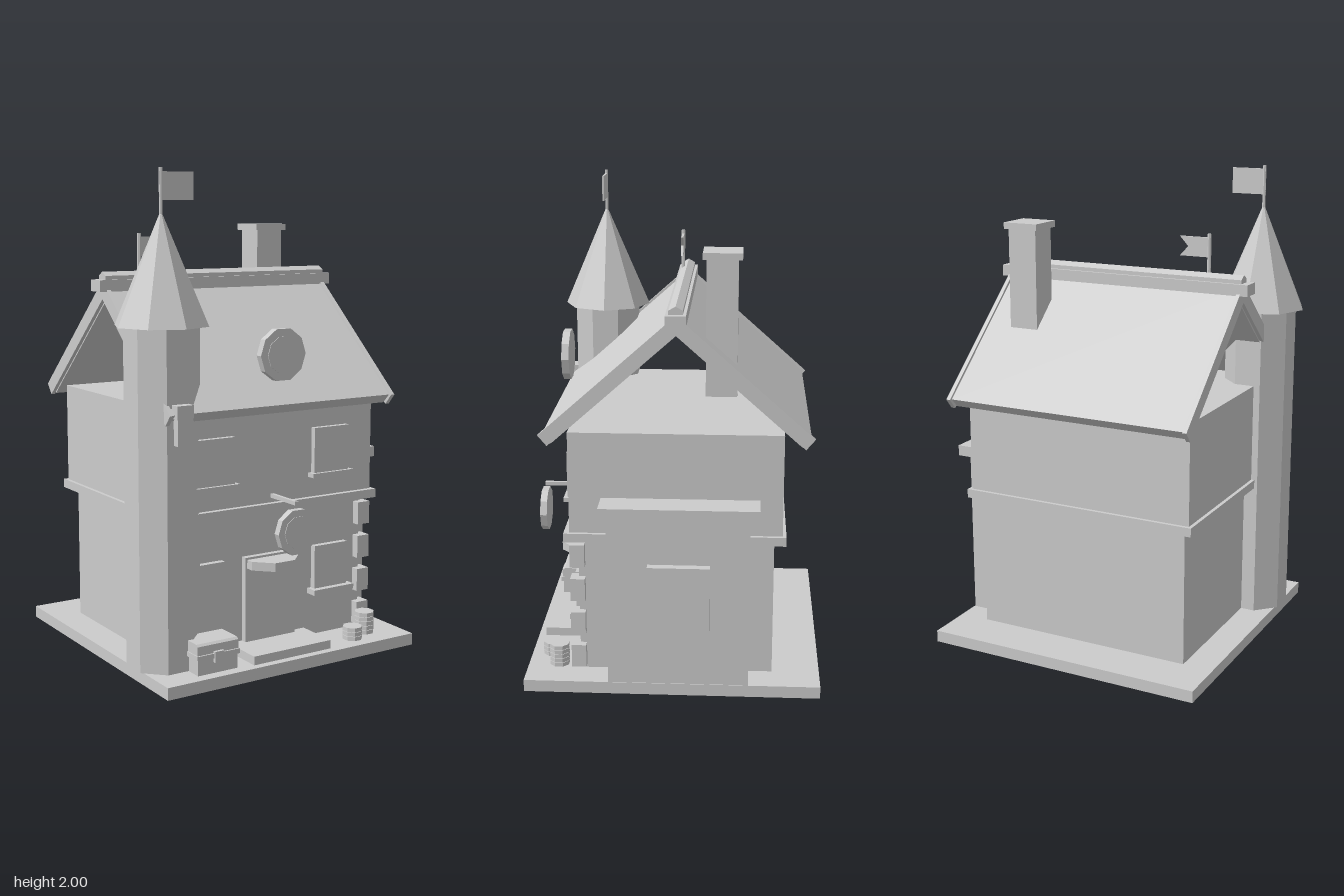
import * as THREE from 'three';

export function createModel() {
  const model = new THREE.Group();
  const grey = new THREE.MeshStandardMaterial({ color: 0xcccccc });
  grey.name = 'plain grey';
  const CX = 0.017, CZ = -0.017; // centre of the house walls

  function add(name, geometry, x = 0, y = 0, z = 0) {
    const mesh = new THREE.Mesh(geometry, grey);
    mesh.name = name;
    mesh.position.set(x, y, z);
    model.add(mesh);
    return mesh;
  }
  // box given by its limits on each axis
  function box(name, x0, x1, y0, y1, z0, z1) {
    return add(name, new THREE.BoxGeometry(x1 - x0, y1 - y0, z1 - z0),
      (x0 + x1) / 2, (y0 + y1) / 2, (z0 + z1) / 2);
  }
  // faceted upright cylinder, turned by an angle
  function facets(rTop, rBottom, height, sides, turn = 0) {
    const g = new THREE.CylinderGeometry(rTop, rBottom, height, sides, 1, false, turn).toNonIndexed();
    g.computeVertexNormals();
    return g;
  }
  // outline of [z, y] points extruded from x0 to x1
  function prism(name, points, x0, x1) {
    const shape = new THREE.Shape(points.map(([z, y]) => new THREE.Vector2(-z, y)));
    const g = new THREE.ExtrudeGeometry(shape, { depth: x1 - x0, bevelEnabled: false });
    g.rotateY(Math.PI / 2);
    return add(name, g, x0, 0, 0);
  }
  // ten-sided disc facing the front, with a raised centre
  function medallion(name, y, z0, z1, r) {
    const rim = facets(r, r, z1 - z0, 10, Math.PI / 2).rotateX(Math.PI / 2);
    add(name, rim, CX, y, (z0 + z1) / 2);
    const centre = facets(r * 0.7, r * 0.7, 0.006, 10, Math.PI / 2).rotateX(Math.PI / 2);
    add(name + 'Centre', centre, CX, y, z1);
  }

  // base slab and the two storeys
  box('base', -0.587, 0.619, 0, 0.05, -0.604, 0.602);
  box('lowerStorey', -0.457, 0.491, 0.05, 0.64, -0.409, 0.381);
  box('upperStorey', -0.489, 0.523, 0.64, 1.08, -0.441, 0.413);
  box('floorBand', -0.504, 0.538, 0.624, 0.661, -0.456, 0.436);

  // corner stones
  for (let i = 0; i < 4; i++) {
    const y = 0.067 + i * 0.147;
    box('cornerStone', 0.462, 0.523, y, y + 0.097, 0.355, 0.415);
  }

  // two roof slopes with raised boards on the gable ends
  for (const s of [1, -1]) {
    const slope = (ridge, eave, under) => {
      const p = [[CZ, ridge], [CZ + s * eave, ridge - 0.889 * eave],
        [CZ + s * (eave - 0.036), ridge - 0.889 * eave - under], [CZ, ridge - under - 0.032]];
      return s > 0 ? p : p.reverse();
    };
    prism('roofSlope', slope(1.545, 0.527, 0.037), -0.51, 0.541);
    prism('gableBoard', slope(1.558, 0.541, 0.043), -0.526, -0.509);
    prism('gableBoard', slope(1.558, 0.541, 0.043), 0.54, 0.558);
  }
  box('ridgeBeam', -0.557, 0.588, 1.515, 1.562, CZ - 0.04, CZ + 0.04);
  add('ridgePole', facets(0.032, 0.032, 1.085, 6, Math.PI / 6 * 3).rotateZ(Math.PI / 2), CX, 1.562, CZ);

  // chimney
  box('chimney', 0.302, 0.43, 1.208, 1.755, -0.252, -0.128);
  box('chimneyCap', 0.288, 0.443, 1.751, 1.778, -0.268, -0.114);

  // side bay with its window
  box('sideBay', 0.45, 0.616, 0.05, 0.768, -0.312, 0.256);
  box('sideBayCap', 0.45, 0.65, 0.766, 0.811, -0.35, 0.284);
  box('sideWindow', 0.6, 0.65, 0.257, 0.568, -0.156, 0.093);

  // corner tower
  const TX = -0.46, TZ = 0.348;
  add('tower', facets(0.149, 0.149, 1.35, 8, Math.PI / 8), TX, 0.725, TZ);
  const spire = new THREE.ConeGeometry(0.189, 0.44, 8).toNonIndexed();
  spire.computeVertexNormals();
  add('towerSpire', spire, TX, 1.62, TZ);
  add('towerFlagpole', facets(0.007, 0.007, 0.2, 6), TX, 1.9, TZ);
  box('towerFlag', TX - 0.006, -0.318, 1.878, 1.985, TZ - 0.004, TZ + 0.004);
  box('towerLantern', -0.488, -0.43, 0.955, 1.08, 0.46, 0.518);
  box('towerLanternCap', -0.495, -0.423, 1.06, 1.112, 0.45, 0.526);

  // swallow-tailed pennant on the ridge
  add('pennantPole', facets(0.008, 0.008, 0.28, 6), -0.365, 1.608, 0);
  const pennant = new THREE.Shape([[0, 0], [0.127, 0], [0.09, 0.04], [0.127, 0.08], [0, 0.08]]
    .map(([x, y]) => new THREE.Vector2(x, y)));
  add('pennant', new THREE.ExtrudeGeometry(pennant, { depth: 0.01, bevelEnabled: false }), -0.363, 1.653, -0.005);

  // front windows, mirrored about the door
  for (const s of [1, -1]) {
    const ux = CX + s * 0.284, lx = CX + s * 0.309;
    box('upperWindow', ux - 0.088, ux + 0.088, 0.758, 0.953, 0.4, 0.436);
    box('upperSill', ux - 0.103, ux + 0.103, 0.746, 0.764, 0.4, 0.45);
    box('lowerWindow', lx - 0.085, lx + 0.085, 0.256, 0.442, 0.37, 0.407);
    if (s > 0) box('lowerSill', lx - 0.103, lx + 0.103, 0.235, 0.258, 0.37, 0.433);
  }

  // door, step and canopy
  box('door', -0.107, 0.141, 0.08, 0.442, 0.37, 0.407);
  box('doorStep', -0.172, 0.206, 0.05, 0.086, 0.37, 0.57);
  add('doorCanopy', facets(0.126, 0.126, 0.036, 8, Math.PI / 8), CX, 0.415, 0.393);

  // round roof medallion and hanging sign
  medallion('roofMedallion', 1.273, 0.455, 0.486, 0.108);
  medallion('hangingSign', 0.574, 0.569, 0.598, 0.095);
  box('signBracket', CX - 0.008, CX + 0.008, 0.681, 0.697, 0.4, 0.585);

  // treasure chest with a softly bevelled lid
  box('chestBody', -0.425, -0.243, 0.05, 0.13, 0.43, 0.556);
  box('chestRim', -0.432, -0.236, 0.112, 0.132, 0.424, 0.565);
  prism('chestLid', [[0.428, 0.132], [0.428, 0.168], [0.436, 0.176], [0.548, 0.176], [0.558, 0.168], [0.558, 0.132]].reverse(),
    -0.428, -0.24);
  box('chestLock', -0.355, -0.313, 0.095, 0.14, 0.55, 0.571);

  // two stacks of coins
  for (const [x, z, count] of [[0.363, 0.515, 3], [0.458, 0.474, 5]]) {
    for (let i = 0; i < count; i++) {
      add('coin', facets(0.042, 0.042, 0.017, 8, Math.PI / 8), x, 0.0585 + i * 0.019, z);
    }
  }
  return model;
}
